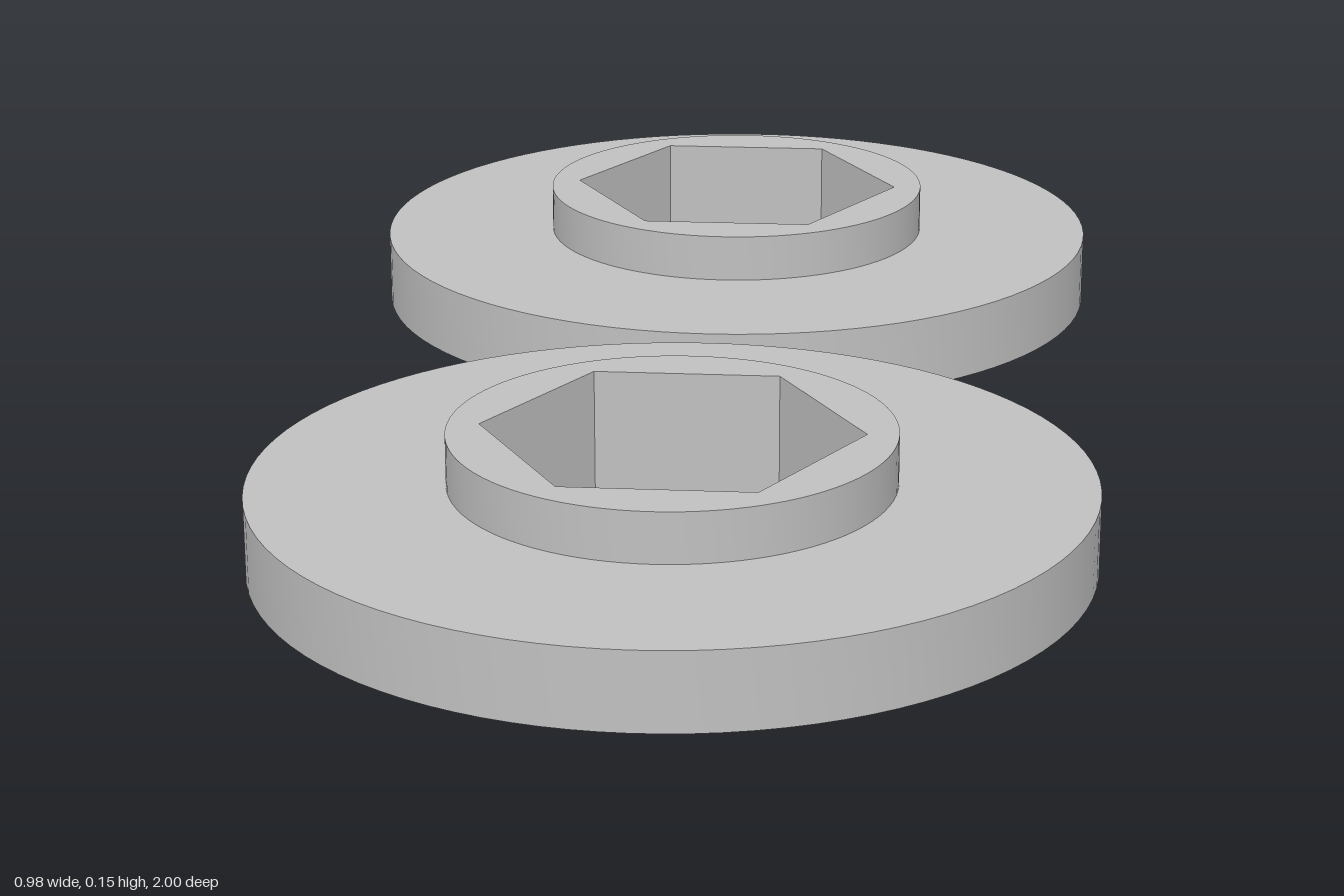
import * as THREE from 'three';
import { toCreasedNormals } from 'three/addons/utils/BufferGeometryUtils.js';

const FLANGE_R = 0.491, BOSS_R = 0.26, HEX_R = 0.223;
const FLANGE_H = 0.093, HEIGHT = 0.154, SPACING = 0.509, SEGMENTS = 96;

// Flat disc with a hexagonal hole, lying in the XY plane
function hexRing(radius) {
  const shape = new THREE.Shape().absarc(0, 0, radius, 0, Math.PI * 2);
  const corners = [];
  for (let i = 0; i < 6; i++) {
    const a = (i * Math.PI) / 3;
    corners.push(new THREE.Vector2(HEX_R * Math.cos(a), HEX_R * Math.sin(a)));
  }
  shape.holes.push(new THREE.Path(corners));
  return new THREE.ShapeGeometry(shape, SEGMENTS);
}

export function createModel() {
  const model = new THREE.Group();
  model.name = 'hexBushings';
  const metal = new THREE.MeshStandardMaterial({ color: 0xc0c0c0 });
  metal.name = 'grey';

  // Stepped outside: flange wall, flange top and boss wall
  const profile = [
    [FLANGE_R, 0], [FLANGE_R, FLANGE_H], [BOSS_R, FLANGE_H], [BOSS_R, HEIGHT],
  ].map(([r, y]) => new THREE.Vector2(r, y));
  const body = toCreasedNormals(new THREE.LatheGeometry(profile, SEGMENTS), 0.6);

  const bossTop = hexRing(BOSS_R).rotateX(-Math.PI / 2).translate(0, HEIGHT, 0);
  const base = hexRing(FLANGE_R).rotateX(Math.PI / 2);

  // Six-sided bore, mirrored so its faces point inward
  const bore = new THREE.CylinderGeometry(HEX_R, HEX_R, HEIGHT, 6, 1, true, Math.PI / 2)
    .toNonIndexed().scale(-1, 1, 1).translate(0, HEIGHT / 2, 0);
  bore.computeVertexNormals();

  const parts = { flangeAndBoss: body, bossTop, flangeBase: base, hexBore: bore };
  for (const [name, z] of [['frontBushing', SPACING], ['backBushing', -SPACING]]) {
    const bushing = new THREE.Group();
    bushing.name = name;
    bushing.position.z = z;
    for (const [partName, geometry] of Object.entries(parts)) {
      const mesh = new THREE.Mesh(geometry, metal);
      mesh.name = partName;
      bushing.add(mesh);
    }
    model.add(bushing);
  }
  return model;
}
